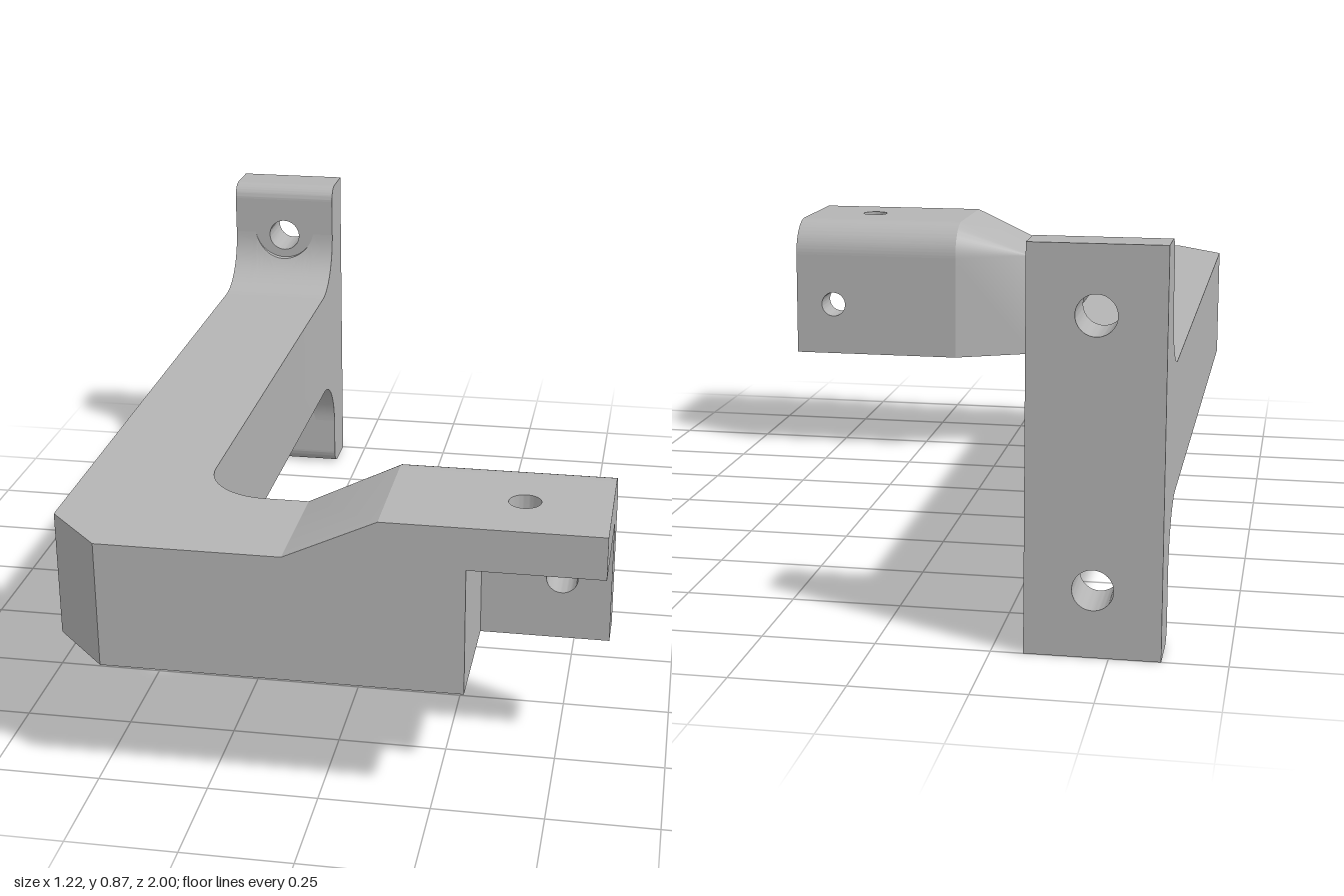
import * as THREE from 'three';
import { toCreasedNormals } from 'three/addons/utils/BufferGeometryUtils.js';

const X0 = -0.61, X1 = -0.32;            // arm width
const Y0 = 0.291, Y1 = 0.583, MID = 0.437; // arm height and mirror plane
const FOOT = -0.865, TOP = 0.874;        // foot front face and top
const WALL = 0.71, T = 0.096;            // bracket inner wall and plate thickness

export function createModel() {
  const model = new THREE.Group();
  model.name = 'bracket';
  const grey = new THREE.MeshStandardMaterial({ color: 0xb4b4b4 });
  grey.name = 'grey';

  const add = (name, geometry) => {
    const mesh = new THREE.Mesh(toCreasedNormals(geometry, 0.5), grey);
    mesh.name = name;
    model.add(mesh);
    return mesh;
  };
  const extrude = (shape, depth) =>
    new THREE.ExtrudeGeometry(shape, { depth, bevelEnabled: false, curveSegments: 24 });
  // shape in (x, -z), raised along y
  const upward = (shape, y0, y1) => extrude(shape, y1 - y0).rotateX(-Math.PI / 2).translate(0, y0, 0);
  // shape in (-z, y), swept along x
  const sideways = (shape, x0, x1) => extrude(shape, x1 - x0).rotateY(Math.PI / 2).translate(x0, 0, 0);
  const rect = (a, b, c, d, holes = []) => {
    const s = new THREE.Shape([[a, b], [c, b], [c, d], [a, d]].map(p => new THREE.Vector2(...p)));
    for (const [x, y, r] of holes) s.holes.push(new THREE.Path().absarc(x, y, r, 0, Math.PI * 2, true));
    return s;
  };
  // skin over rows of [x, y, z] points
  const loft = rows => {
    const n = rows[0].length, index = [];
    for (let r = 0; r + 1 < rows.length; r++)
      for (let i = 0; i + 1 < n; i++) {
        const a = r * n + i, b = a + n;
        index.push(a, b, a + 1, a + 1, b, b + 1);
      }
    const g = new THREE.BufferGeometry();
    g.setAttribute('position', new THREE.Float32BufferAttribute(rows.flat(2), 3));
    g.setIndex(index);
    return g.toNonIndexed();
  };

  // L-shaped arm with chamfered outer and rounded inner corner
  const plan = new THREE.Shape();
  plan.moveTo(X0, -FOOT);
  plan.lineTo(X1, -FOOT);
  plan.lineTo(X1, -0.56);
  plan.absarc(X1 + 0.15, -0.56, 0.15, Math.PI, Math.PI * 1.5, false);
  plan.lineTo(0.32, -WALL);
  plan.lineTo(0.32, -1);
  plan.lineTo(-0.48, -1);
  plan.lineTo(X0, -0.865);
  plan.closePath();
  add('arm', upward(plan, Y0, Y1));

  // mounting foot with two screw holes
  const R = 0.04, cx = (X0 + X1) / 2;
  const pad = rect(X0, R, X1, TOP - R, [[cx, MID - 0.29, 0.044], [cx, MID + 0.29, 0.044]]);
  add('footPlate', extrude(pad, 1 + FOOT).translate(0, 0, -1));
  const edge = new THREE.Shape();
  edge.moveTo(1, TOP - R);
  edge.lineTo(1, TOP);
  edge.lineTo(-FOOT + R, TOP);
  edge.absarc(-FOOT + R, TOP - R, R, Math.PI / 2, Math.PI, false);
  edge.closePath();

  // fillet between arm and foot, scooped out around the screw head
  const F = 0.15, column = (x, collapsed) => {
    const dx = x - cx, s = 0.088 ** 2 - dx * dx;
    const yEnd = Math.min(Y1 + F, s > 0 ? 0.748 - Math.sqrt(s) : 9);
    const aEnd = Math.acos(Math.min(1, Math.max(0, (Y1 + F - yEnd) / F)));
    const pts = [];
    for (let i = 0; i <= 16; i++) {
      const a = aEnd * i / 16;
      pts.push([x, Y1 + F - F * Math.cos(a), FOOT + F - F * Math.sin(a)]);
    }
    pts.push([x, yEnd, FOOT]);
    return collapsed ? pts.map(() => [x, Y1, FOOT]) : pts;
  };
  const columns = [column(X0, true)];
  for (let i = 0; i <= 60; i++) columns.push(column(X0 + (X1 - X0) * i / 60));
  columns.push(column(X1, true));

  for (const side of ['upper', 'lower']) {
    const parts = [
      add(side + 'FootEdge', sideways(edge, X0, X1)),
      add(side + 'FootFillet', loft(columns)),
    ];
    if (side === 'lower') for (const m of parts) {
      m.scale.y = -1;
      m.position.y = 2 * MID;
    }
  }

  // angle bracket: top plate, back wall and rounded edge between them
  const S = 0.135, E = 0.61;
  add('topPlate', upward(rect(S, -1, E, -WALL, [[0.425, -0.847, 0.035]]), Y1, Y1 + T));
  add('backWall', extrude(rect(S, Y0, E, Y1, [[0.5, MID, 0.035]]), T).translate(0, 0, WALL - T));
  const round = new THREE.Shape();
  round.moveTo(-WALL, Y1);
  round.lineTo(-WALL + T, Y1);
  round.absarc(-WALL, Y1, T, 0, Math.PI / 2, false);
  round.closePath();
  add('roundedEdge', sideways(round, S, E));

  // taper that grows from the arm to the bracket thickness
  const section = (x, t) => {
    const pts = [[x, Y1, 1], [x, Y1 + t, 1]];
    for (let i = 0; i <= 16; i++) {
      const a = Math.PI / 2 * i / 16;
      pts.push([x, Y1 + t * Math.cos(a), WALL - t * Math.sin(a)]);
    }
    pts.push([x, Y0, WALL - t], [x, Y0, WALL]);
    return pts;
  };
  add('taper', loft([section(-0.07, 0), section(S, T)]));

  return model;
}
